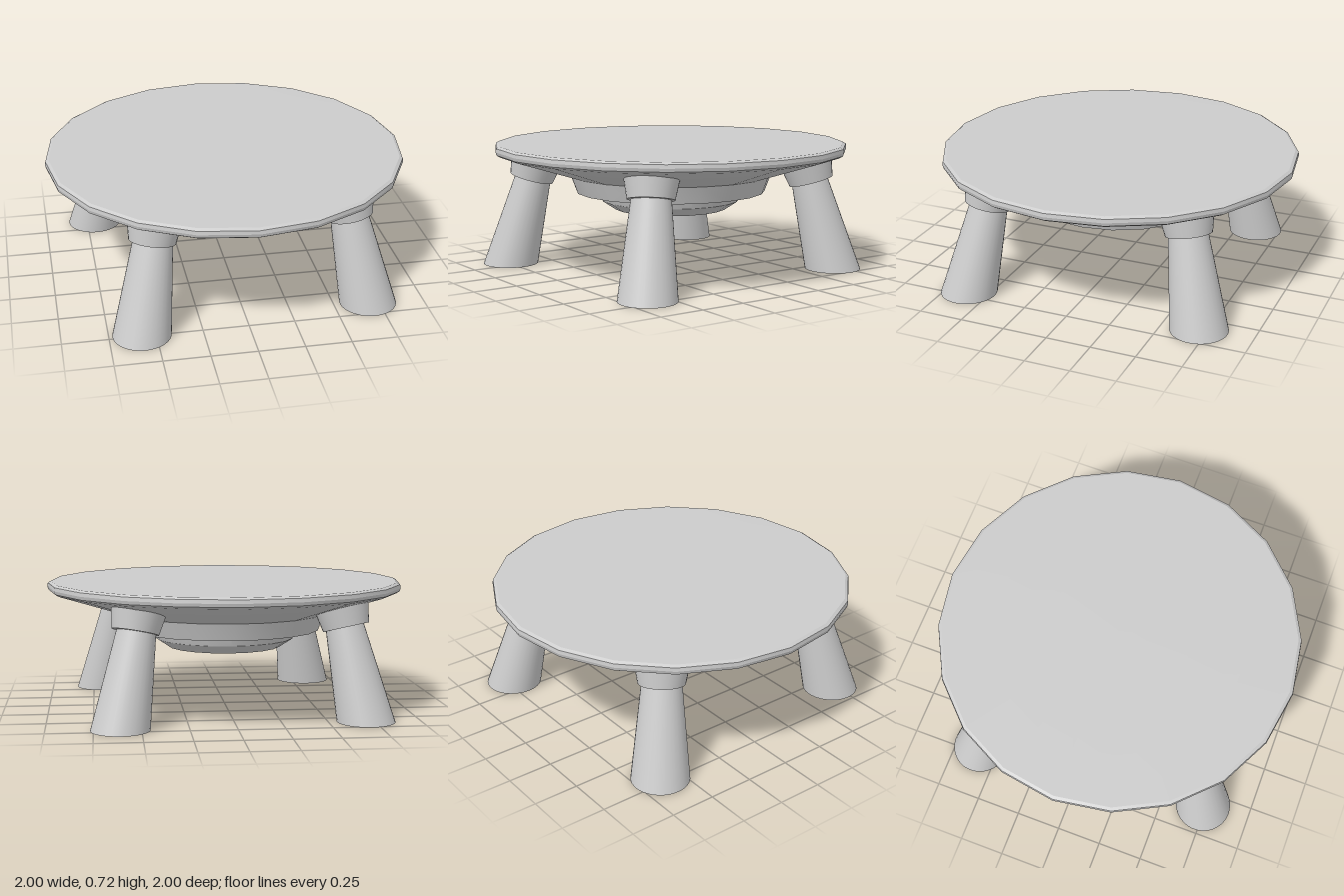
import * as THREE from 'three';
import { toCreasedNormals } from 'three/addons/utils/BufferGeometryUtils.js';

const material = new THREE.MeshStandardMaterial({ color: 0xcccccc });

// Twenty-sided turned part; the profile runs from the bottom centre outwards and up
function turned(name, profile) {
  const points = profile.map(([r, y]) => new THREE.Vector2(r, y));
  const geometry = toCreasedNormals(new THREE.LatheGeometry(points, 20), 0.4);
  const mesh = new THREE.Mesh(geometry, material);
  mesh.name = name;
  return mesh;
}

// One splayed leg, built along +x and then turned to its angle
function createLeg(angle) {
  const leg = new THREE.Group();
  leg.name = 'leg';
  const footRadius = 0.93, lean = 0.27, height = 0.54;

  // Tapered shaft, sheared inwards so that the foot stays flat on the ground
  const shaftGeometry = new THREE.CylinderGeometry(0.102, 0.157, height, 32);
  shaftGeometry.translate(0, height / 2, 0);
  shaftGeometry.applyMatrix4(new THREE.Matrix4().makeShear(0, 0, -lean, 0, 0, 0));
  const shaft = new THREE.Mesh(toCreasedNormals(shaftGeometry, 0.6), material);
  shaft.name = 'legShaft';
  shaft.position.x = footRadius;

  // Flared collar, square to the leg, seated in the underside of the top
  const collar = new THREE.Mesh(new THREE.CylinderGeometry(0.147, 0.125, 0.115, 32), material);
  collar.name = 'legCollar';
  collar.position.set(0.785, 0.555, 0);
  collar.rotation.z = Math.atan(lean);

  leg.add(shaft, collar);
  leg.rotation.y = -THREE.MathUtils.degToRad(angle);
  return leg;
}

export function createModel() {
  const model = new THREE.Group();
  model.name = 'roundTable';

  // Top with rounded rim, conical underside and a stepped, grooved hub
  model.add(turned('tableTop', [
    [0, 0.47], [0.45, 0.47], [0.45, 0.435], [0.54, 0.435], [0.575, 0.53],
    [0.975, 0.655], [0.995, 0.667], [1, 0.685], [0.997, 0.705], [0.98, 0.715],
    [0.7, 0.719], [0.4, 0.722], [0, 0.724],
  ]));
  model.add(turned('underBowl', [
    [0, 0.335], [0.32, 0.335], [0.395, 0.385], [0.415, 0.435], [0.42, 0.48],
  ]));

  // Four slightly unevenly spaced legs
  for (const angle of [41.9, 128.1, 220.9, 311]) model.add(createLeg(angle));
  return model;
}
